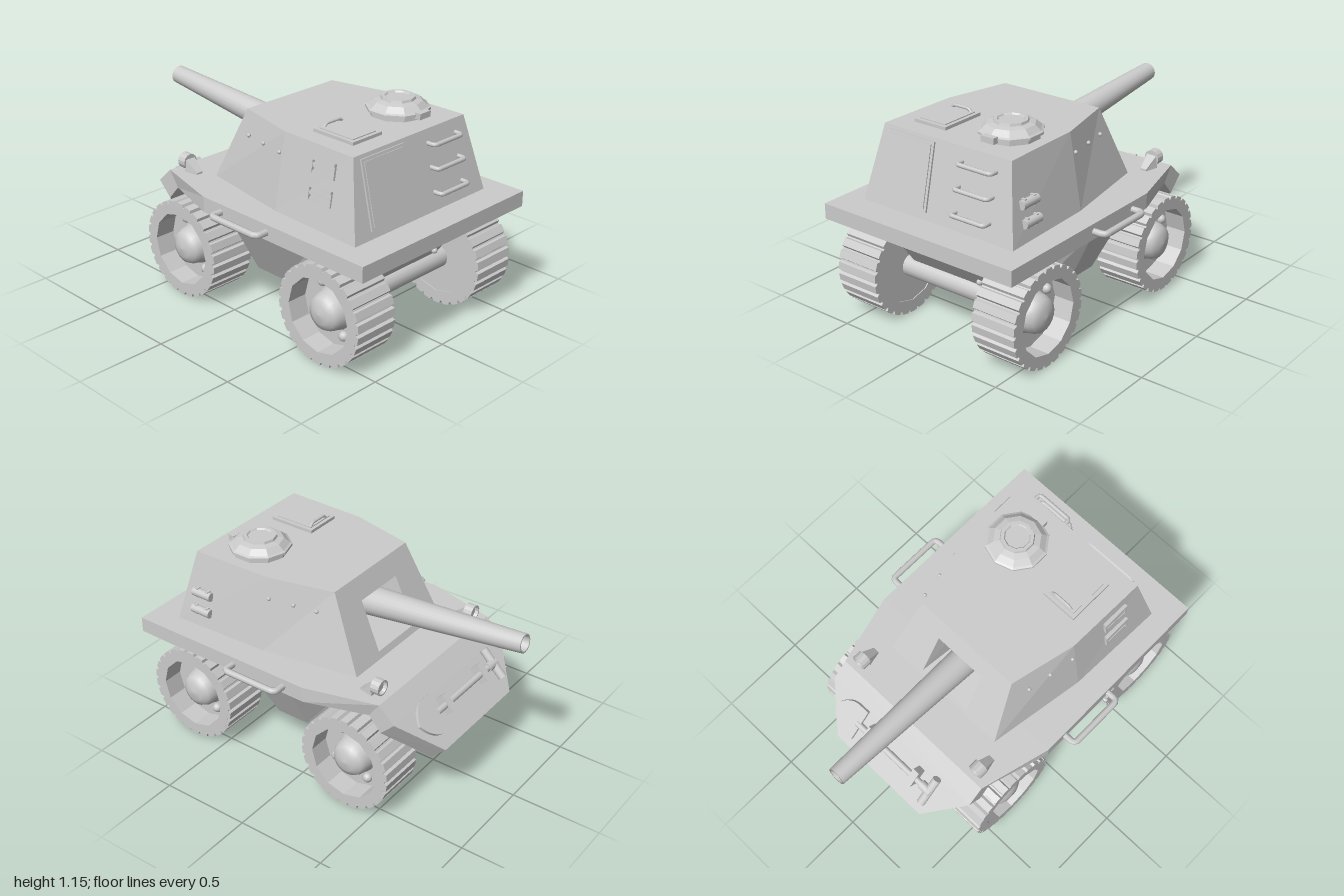
import * as THREE from 'three';

const smooth = new THREE.MeshStandardMaterial({ color: 0xcccccc });
const flat = new THREE.MeshStandardMaterial({ color: 0xcccccc, flatShading: true });

function add(parent, name, geometry, pos = [0, 0, 0], rot = [0, 0, 0], material = flat) {
  const mesh = new THREE.Mesh(geometry, material);
  mesh.name = name;
  mesh.position.set(...pos);
  mesh.rotation.set(...rot);
  parent.add(mesh);
  return mesh;
}
const box = (w, h, d) => new THREE.BoxGeometry(w, h, d);
const cyl = (r1, r2, h, n = 16) => new THREE.CylinderGeometry(r1, r2, h, n);
const lathe = (pts, n) => new THREE.LatheGeometry(pts.map(p => new THREE.Vector2(...p)), n);

// Skin through closed rings, running from rear (+z) to nose (-z), capped at both ends
function loft(rings) {
  const pos = [], n = rings[0].length;
  const tri = (a, b, c) => pos.push(...a, ...b, ...c);
  for (let i = 0; i < rings.length - 1; i++) {
    for (let j = 0; j < n; j++) {
      const k = (j + 1) % n, p = rings[i], q = rings[i + 1];
      tri(p[j], q[j], q[k]);
      tri(p[j], q[k], p[k]);
    }
  }
  const first = rings[0], last = rings[rings.length - 1];
  for (let j = 1; j < n - 1; j++) {
    tri(first[0], first[j], first[j + 1]);
    tri(last[0], last[j + 1], last[j]);
  }
  const g = new THREE.BufferGeometry();
  g.setAttribute('position', new THREE.Float32BufferAttribute(pos, 3));
  g.computeVertexNormals();
  return g;
}
// Symmetric ring from [x, y, z] points listed bottom to top on the +x side
const ring = (...pts) => [...pts, ...pts.map(([x, y, z]) => [-x, y, z]).reverse()];

// Bent bar with rounded corners through the given points
function bar(points, r) {
  const v = points.map(p => new THREE.Vector3(...p));
  const path = new THREE.CurvePath();
  let start = v[0];
  for (let i = 1; i < v.length - 1; i++) {
    const a = v[i].clone().add(v[i - 1].clone().sub(v[i]).setLength(r * 1.6));
    const b = v[i].clone().add(v[i + 1].clone().sub(v[i]).setLength(r * 1.6));
    path.add(new THREE.LineCurve3(start, a));
    path.add(new THREE.QuadraticBezierCurve3(a, v[i], b));
    start = b;
  }
  path.add(new THREE.LineCurve3(start, v[v.length - 1]));
  return new THREE.TubeGeometry(path, 32, r, 8, false);
}

// Wheel with its outer face towards local +z, spanning z 0 to 0.26
function makeWheel() {
  const wheel = new THREE.Group();
  wheel.name = 'wheel';
  const teeth = 26, outline = [];
  for (let i = 0; i < teeth; i++) {
    for (const [f, r] of [[0, 0.252], [0.12, 0.268], [0.75, 0.268], [0.87, 0.252]]) {
      const a = (i + f) / teeth * Math.PI * 2;
      outline.push(new THREE.Vector2(Math.cos(a) * r, Math.sin(a) * r));
    }
  }
  const shape = new THREE.Shape(outline), hole = [];
  for (let i = 0; i < 12; i++) {
    const a = -i / 12 * Math.PI * 2;
    hole.push(new THREE.Vector2(Math.cos(a) * 0.2, Math.sin(a) * 0.2));
  }
  shape.holes.push(new THREE.Path(hole));
  add(wheel, 'tyre', new THREE.ExtrudeGeometry(shape, { depth: 0.26, bevelEnabled: false }));
  add(wheel, 'rimDisc', cyl(0.205, 0.205, 0.14, 12), [0, 0, 0.075], [Math.PI / 2, Math.PI / 2, 0]);
  add(wheel, 'hub', lathe([[0.115, 0], [0.105, 0.03], [0.1, 0.06], [0.085, 0.09], [0.05, 0.108], [0, 0.114]], 20),
    [0, 0, 0.14], [Math.PI / 2, 0, 0], smooth);
  for (let i = 0; i < 4; i++) {
    const a = 0.52 + i * Math.PI / 2;
    add(wheel, 'wheelBolt', new THREE.SphereGeometry(0.027, 10, 8),
      [Math.cos(a) * 0.145, Math.sin(a) * 0.145, 0.15], [0, 0, 0], smooth);
  }
  return wheel;
}

export function createModel() {
  const root = new THREE.Group();
  root.name = 'armouredVehicle';

  // Hull with bulging sides between the wheels
  add(root, 'hull', loft([
    ring([0.2, 0.185, 0.59], [0.27, 0.2, 0.605], [0.3, 0.57, 0.89]),
    ring([0.17, 0.13, 0.4], [0.28, 0.22, 0.36], [0.3, 0.57, 0.5]),
    ring([0.2, 0.13, 0.3], [0.38, 0.23, 0.25], [0.56, 0.57, 0.3]),
    ring([0.2, 0.13, 0.03], [0.38, 0.23, 0.06], [0.56, 0.57, 0.04]),
    ring([0.17, 0.13, -0.13], [0.28, 0.22, -0.05], [0.3, 0.57, -0.2]),
    ring([0.17, 0.3, -0.62], [0.28, 0.33, -0.64], [0.3, 0.57, -0.42]),
  ]));
  add(root, 'rearDoor', box(0.54, 0.44, 0.02), [0, 0.375, 0.743], [0.652, 0, 0]);
  add(root, 'doorKnob', new THREE.SphereGeometry(0.017, 10, 8), [0.205, 0.37, 0.758], [0, 0, 0], smooth);

  // Deck plate, bending down into the sloped nose
  add(root, 'deck', loft([
    ring([0.605, 0.57, 1], [0.605, 0.655, 1]),
    ring([0.605, 0.57, -0.1], [0.605, 0.655, -0.1]),
    ring([0.5, 0.57, -0.43], [0.5, 0.655, -0.49]),
    ring([0.5, 0.49, -0.5], [0.5, 0.57, -0.58]),
    ring([0.31, 0.305, -0.68], [0.31, 0.385, -0.765]),
  ]));

  // Wheels and axles
  for (const z of [0.69, -0.33]) {
    add(root, 'axle', cyl(0.06, 0.06, 0.68), [0, 0.275, z], [0, 0, Math.PI / 2], smooth);
    for (const s of [1, -1]) {
      const wheel = makeWheel();
      wheel.position.set(s * 0.32, 0.268, z);
      wheel.rotation.y = s * Math.PI / 2;
      root.add(wheel);
    }
  }

  // Turret with a recessed gun port in its front face
  const frontZ = y => -0.265 + (y - 0.65) * 0.45;
  add(root, 'turret', loft([
    ring([0.485, 0.65, 0.84], [0.405, 1.06, 0.745]),
    ring([0.465, 0.65, 0.28], [0.395, 1.06, 0.28]),
    ring([0.375, 0.65, frontZ(0.65)], [0.31, 1.06, frontZ(1.06)]),
    ring([0.16, 0.69, frontZ(0.69)], [0.15, 0.95, frontZ(0.95)]),
    ring([0.125, 0.71, 0.02], [0.125, 0.93, 0.02]),
  ]));

  // Gun barrel with a hollow muzzle
  const gunFrom = new THREE.Vector3(0, 0.852, 0.02), gunDir = new THREE.Vector3(0, 0.096, -1.015);
  const len = gunDir.length();
  const barrel = add(root, 'gunBarrel', lathe([[0, 0], [0.083, 0], [0.05, len], [0.04, len], [0.04, len - 0.15], [0, len - 0.15]], 20)
    .toNonIndexed(), gunFrom.toArray(), [0, 0, 0], smooth);
  barrel.quaternion.setFromUnitVectors(new THREE.Vector3(0, 1, 0), gunDir.normalize());

  // Cupola
  add(root, 'cupola', lathe([[0.15, 1.05], [0.15, 1.085], [0.167, 1.085], [0.167, 1.097], [0.155, 1.103], [0.125, 1.13],
    [0.092, 1.137], [0.088, 1.15], [0.07, 1.15], [0.064, 1.142], [0, 1.142]], 10), [0.195, 0, 0.49]);
  add(root, 'cupolaHinge', box(0.08, 0.032, 0.035), [0.195, 1.09, 0.655]);

  // Roof hatch
  add(root, 'roofHatch', box(0.205, 0.02, 0.265), [-0.197, 1.067, 0.512]);
  add(root, 'hatchPanel', box(0.165, 0.012, 0.225), [-0.197, 1.076, 0.512]);
  add(root, 'hatchHandle', bar([[-0.265, 1.07, 0.41], [-0.24, 1.095, 0.41], [-0.145, 1.095, 0.41], [-0.12, 1.07, 0.41]], 0.008),
    [0, 0, 0], [0, 0, 0], smooth);

  // Turret rear: access panel and ladder rungs
  const rearZ = y => 0.84 - (y - 0.65) * 0.232;
  add(root, 'rearPanel', box(0.3, 0.355, 0.02), [-0.215, 0.867, rearZ(0.867)], [-0.228, 0, 0]);
  add(root, 'rearPanelFace', box(0.27, 0.325, 0.02), [-0.215, 0.868, rearZ(0.867) + 0.005], [-0.228, 0, 0]);
  for (const y of [0.99, 0.87, 0.745]) {
    const z = rearZ(y);
    add(root, 'rung', bar([[0.115, y, z - 0.01], [0.115, y, z + 0.045], [0.325, y, z + 0.045], [0.325, y, z - 0.01]], 0.012),
      [0, 0, 0], [0, 0, 0], smooth);
  }

  // Turret sides: bolts, canisters and vents
  const sideX = (y, z) => {
    const t = Math.max(0, (0.28 - z) / 0.5), u = (y - 0.65) / 0.41;
    return (0.47 - 0.09 * t) * (1 - u) + (0.4 - 0.085 * t) * u;
  };
  for (const s of [1, -1]) {
    for (const z of [0.26, 0.12, -0.01]) {
      add(root, 'turretBolt', new THREE.SphereGeometry(0.011, 8, 6), [s * sideX(0.95, z), 0.95, z], [0, 0, 0], smooth);
    }
  }
  for (const y of [0.845, 0.75]) {
    const x = sideX(y, 0.7) + 0.018;
    add(root, 'canister', cyl(0.024, 0.024, 0.12, 12), [x, y, 0.68], [Math.PI / 2, 0, 0], smooth);
    for (const z of [0.645, 0.715]) add(root, 'canisterClamp', box(0.04, 0.054, 0.014), [x - 0.01, y, z]);
  }
  for (const y of [0.96, 0.825]) {
    const x = -sideX(y, 0.57);
    for (const h of [-0.035, 0.035]) add(root, 'ventFrame', box(0.03, 0.014, 0.16), [x, y + h, 0.57], [0, 0, -0.17]);
    for (const d of [-0.073, 0.073]) add(root, 'ventFrame', box(0.03, 0.08, 0.014), [x, y, 0.57 + d], [0, 0, -0.17]);
    add(root, 'ventSlat', box(0.024, 0.02, 0.14), [x, y, 0.57], [0, 0, -0.17]);
  }

  // Grab bars and headlamps on both sides
  for (const s of [1, -1]) {
    add(root, 'grabBar', bar([[s * 0.59, 0.612, 0.03], [s * 0.672, 0.612, 0.03], [s * 0.672, 0.612, 0.36], [s * 0.59, 0.612, 0.36]], 0.018),
      [0, 0, 0], [0, 0, 0], smooth);
    add(root, 'headlamp', lathe([[0, 0.03], [0.034, 0.03], [0.036, 0.05], [0.043, 0.05], [0.043, 0], [0, 0]].reverse(), 14),
      [s * 0.425, 0.703, -0.41], [-Math.PI / 2, 0, 0]);
    add(root, 'headlampBracket', loft([
      ring([0.018, 0.65, -0.335], [0.018, 0.665, -0.335]),
      ring([0.036, 0.65, -0.415], [0.03, 0.725, -0.415]),
    ]), [s * 0.425, 0, 0]);
  }

  // Shovel strapped to the nose slope
  const shovel = new THREE.Group();
  shovel.name = 'shovel';
  shovel.position.set(0, 0.512, -0.64);
  shovel.rotation.x = -Math.PI / 4;
  root.add(shovel);
  add(shovel, 'shovelShaft', cyl(0.018, 0.018, 0.53, 12), [-0.02, 0.035, 0], [0, 0, Math.PI / 2], smooth);
  add(shovel, 'shovelGrip', cyl(0.024, 0.024, 0.18, 12), [-0.29, 0.035, 0], [Math.PI / 2, 0, 0], smooth);
  add(shovel, 'gripSocket', cyl(0.026, 0.026, 0.07, 12), [-0.27, 0.035, 0], [0, 0, Math.PI / 2], smooth);
  for (const x of [-0.18, 0.15]) add(shovel, 'shovelClamp', box(0.04, 0.065, 0.1), [x, 0.025, 0]);
  const blade = new THREE.Shape();
  blade.moveTo(0.22, -0.1);
  blade.lineTo(0.29, -0.1);
  blade.quadraticCurveTo(0.36, -0.09, 0.4, 0);
  blade.quadraticCurveTo(0.36, 0.09, 0.29, 0.1);
  blade.lineTo(0.22, 0.1);
  add(shovel, 'shovelBlade', new THREE.ExtrudeGeometry(blade, { depth: 0.018, bevelEnabled: false }),
    [0, 0.025, 0], [-Math.PI / 2, 0, 0]);
  return root;
}
